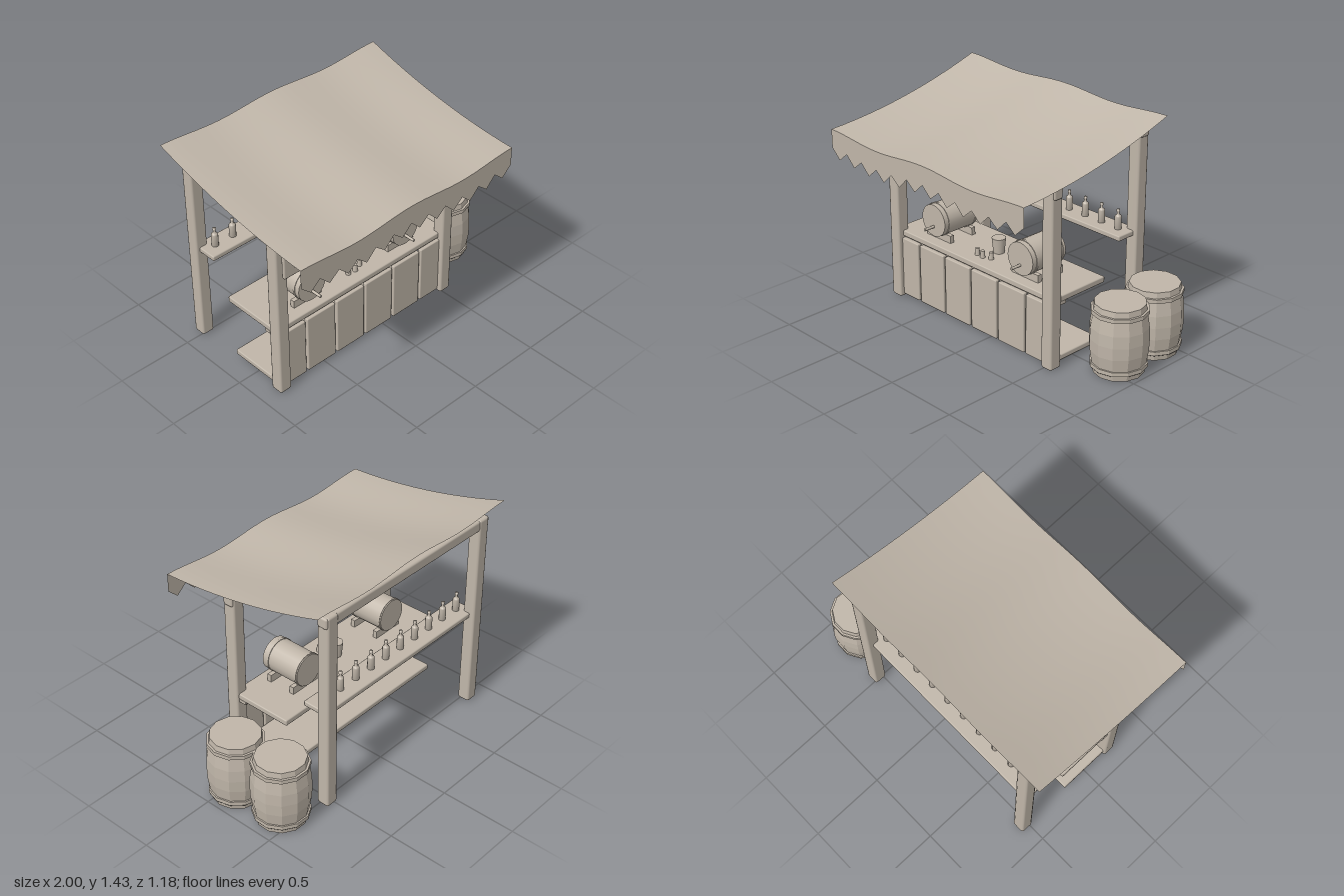
import * as THREE from 'three';
import { RoundedBoxGeometry } from 'three/addons/geometries/RoundedBoxGeometry.js';

export function createModel() {
  const root = new THREE.Group();
  const clay = new THREE.MeshStandardMaterial({ color: 0xc0b6a9, side: THREE.DoubleSide });
  clay.name = 'warm grey';
  const facet = clay.clone();
  facet.flatShading = true;
  const dark = new THREE.MeshStandardMaterial({ color: 0x222222, side: THREE.DoubleSide });
  dark.name = 'black';
  // Box sides in order +x, -x, +y, -y, +z, -z: black underneath
  const darkBase = [clay, clay, clay, dark, clay, clay];

  const add = (name, geo, x = 0, y = 0, z = 0, mat = clay, parent = root) => {
    const m = new THREE.Mesh(geo, mat);
    m.name = name;
    m.position.set(x, y, z);
    parent.add(m);
    return m;
  };
  // Bevelled box given by its limits on each axis
  const block = (name, x0, x1, y0, y1, z0, z1, r = 0.008, mat = clay) =>
    add(name, new RoundedBoxGeometry(x1 - x0, y1 - y0, z1 - z0, 1, r),
      (x0 + x1) / 2, (y0 + y1) / 2, (z0 + z1) / 2, mat);
  const lathe = (pts, n) => new THREE.LatheGeometry(pts.map(p => new THREE.Vector2(...p)), n);

  // Posts and cross beams
  for (const [x0, x1] of [[-0.885, -0.8], [0.48, 0.565]]) {
    block('frontPost', x0, x1, 0, 1.18, 0.163, 0.249, 0.014, darkBase);
    block('backPost', x0, x1, 0, 1.36, -0.566, -0.482, 0.014, darkBase);
  }
  block('frontBeam', -0.895, 0.575, 1.1, 1.175, 0.17, 0.242, 0.014);
  block('backBeam', -0.895, 0.575, 1.285, 1.358, -0.56, -0.488, 0.014);

  // Counter, plank front and shelves
  block('counterTop', -0.87, 0.55, 0.425, 0.465, -0.225, 0.21);
  block('upperRail', -0.87, 0.55, 0.405, 0.43, 0.11, 0.19, 0.004);
  block('lowerShelf', -0.87, 0.55, 0.035, 0.072, -0.18, 0.19, 0.008, darkBase);
  for (let i = 0; i < 6; i++) {
    const x = -0.763 + i * 0.239;
    block('frontPlank', x - 0.112, x + 0.112, 0.015, 0.415, 0.187, 0.22, 0.007, darkBase);
  }
  block('bottleShelf', -0.86, 0.54, 0.645, 0.68, -0.53, -0.355);

  // Draped canopy, waving across x and rising towards the back
  const clothY = (x, z) => {
    const u = (0.59 - z) / 1.18;
    const wave = (0.014 - 0.002 * u) * Math.cos((x + 1) * Math.PI * 2 / 0.84);
    return 1.19 + 0.055 * u + 0.173 * u * u + wave;
  };
  const cloth = new THREE.PlaneGeometry(1.68, 1.18, 32, 12).rotateX(-Math.PI / 2).translate(-0.16, 0, 0);
  const p = cloth.attributes.position;
  for (let i = 0; i < p.count; i++) p.setY(i, clothY(p.getX(i), p.getZ(i)));
  cloth.computeVertexNormals();
  add('canopy', cloth);

  // Zigzag valance along the front edge
  const teeth = new THREE.Shape();
  const steps = 24;
  for (let i = 0; i <= steps; i++) {
    const x = -1 + 1.68 * i / steps;
    const y = clothY(x, 0.59) - (i % 2 ? 0.185 : 0.122);
    if (i) teeth.lineTo(x, y); else teeth.moveTo(x, y);
  }
  for (let i = 32; i >= 0; i--) {
    const x = -1 + 1.68 * i / 32;
    teeth.lineTo(x, clothY(x, 0.59));
  }
  add('valance', new THREE.ShapeGeometry(teeth), 0, 0, 0.59);

  // Hanging sign with a raised emblem
  block('signBoard', -0.885, -0.575, 0.915, 1.09, 0.295, 0.32, 0.01);
  const emblem = new THREE.Shape();
  emblem.moveTo(-0.08, 0);
  emblem.lineTo(0.08, 0);
  emblem.lineTo(0.08, 0.03);
  emblem.lineTo(0.06, 0.03);
  emblem.absellipse(0, 0.03, 0.06, 0.037, 0, Math.PI, false);
  emblem.lineTo(-0.08, 0.03);
  add('signEmblem', new THREE.ExtrudeGeometry(emblem, { depth: 0.016, bevelEnabled: false }), -0.73, 0.97, 0.318);
  for (const x of [-0.84, -0.62])
    add('signHanger', new THREE.CylinderGeometry(0.005, 0.005, 0.09, 6), x, 1.118, 0.307);

  // Row of bottles
  const bottle = lathe([[0, 0], [0.022, 0], [0.022, 0.08], [0.018, 0.089], [0.009, 0.095],
    [0.008, 0.112], [0.011, 0.114], [0.011, 0.128], [0, 0.128]], 12);
  for (let i = 0; i < 10; i++) add('bottle', bottle, -0.776 + i * 0.1365, 0.68, -0.44);

  // Kegs lying on notched cradles
  const cradle = new THREE.Shape();
  cradle.moveTo(-0.11, 0);
  cradle.lineTo(0.11, 0);
  cradle.lineTo(0.11, 0.05);
  cradle.lineTo(0.068, 0.05);
  cradle.quadraticCurveTo(0, 0.0, -0.068, 0.05);
  cradle.lineTo(-0.11, 0.05);
  const cradleGeo = new THREE.ExtrudeGeometry(cradle, { depth: 0.03, bevelEnabled: false });
  const tube = (r, len) => new THREE.CylinderGeometry(r, r, len, 20).rotateX(Math.PI / 2);
  for (const x of [-0.55, 0.225]) {
    const keg = new THREE.Group();
    keg.name = 'keg';
    keg.position.x = x;
    root.add(keg);
    add('kegBody', tube(0.107, 0.28), 0, 0.601, 0.03, clay, keg);
    for (const z of [0.13, -0.095]) add('kegBand', tube(0.111, 0.014), 0, 0.601, z, clay, keg);
    for (const z of [0.1, -0.083]) add('kegCradle', cradleGeo, 0, 0.465, z, clay, keg);
    add('kegTap', tube(0.009, 0.08), 0, 0.56, 0.205, clay, keg);
  }

  // Tankard and small cups
  const cup = (r0, r1, h) => new THREE.CylinderGeometry(r1, r0, h, 12).translate(0, h / 2, 0);
  add('tankard', cup(0.036, 0.046, 0.1), -0.14, 0.465, -0.005);
  for (const [x, z] of [[-0.207, 0.115], [-0.155, 0.12], [-0.1, 0.1]])
    add('smallCup', cup(0.017, 0.013, 0.046), x, 0.465, z);

  // Standing barrels with flat lids, hoops and black undersides
  const barrel = lathe([[0.157, 0], [0.18, 0.15], [0.183, 0.228], [0.18, 0.305], [0.157, 0.455], [0, 0.455]], 12);
  const hoop = lathe([[0.15, 0], [0.177, 0], [0.177, 0.026], [0.15, 0.026]], 12);
  const base = lathe([[0, 0], [0.157, 0]], 12);
  const hoopBase = lathe([[0.155, 0], [0.177, 0]], 12);
  for (const [x, z, turn] of [[0.793, -0.405, 0.25], [0.817, -0.068, 0]]) {
    const g = new THREE.Group();
    g.name = 'barrel';
    g.position.set(x, 0, z);
    g.rotation.y = turn;
    root.add(g);
    add('barrelBody', barrel, 0, 0, 0, facet, g);
    add('barrelBase', base, 0, 0, 0, dark, g);
    for (const y of [0.042, 0.392]) add('barrelHoop', hoop, 0, y, 0, facet, g);
    add('hoopUnderside', hoopBase, 0, 0.041, 0, dark, g);
  }
  return root;
}
